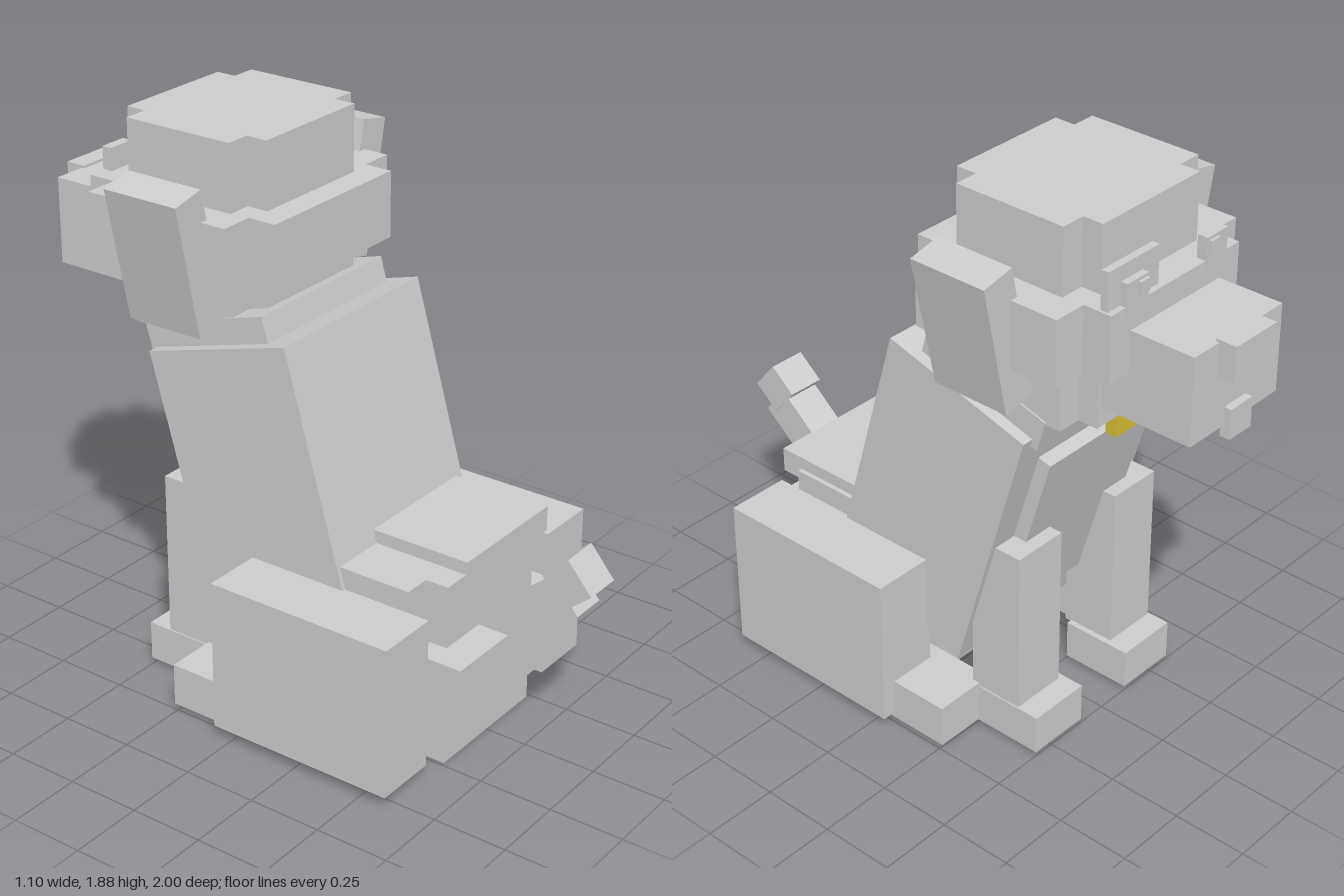
import * as THREE from 'three';

const grey = new THREE.MeshStandardMaterial({ color: 0xcccccc });
grey.name = 'light grey';
const gold = new THREE.MeshStandardMaterial({ color: 0xd4be32 });
gold.name = 'gold';

// Box given by its lower and upper limits on each axis
function block(parent, name, [x0, x1], [y0, y1], [z0, z1], material = grey) {
  const mesh = new THREE.Mesh(new THREE.BoxGeometry(x1 - x0, y1 - y0, z1 - z0), material);
  mesh.position.set((x0 + x1) / 2, (y0 + y1) / 2, (z0 + z1) / 2);
  mesh.name = name;
  parent.add(mesh);
  return mesh;
}

// Same box on either side of x = 0
function pair(parent, name, [x0, x1], y, z) {
  return [
    block(parent, name + 'Left', [x0, x1], y, z),
    block(parent, name + 'Right', [-x1, -x0], y, z),
  ];
}

function group(parent, name) {
  const g = new THREE.Group();
  g.name = name;
  parent.add(g);
  return g;
}

export function createModel() {
  const dog = new THREE.Group();
  dog.name = 'sittingDog';

  // Leaning torso with collar and chest plate in its own tilted frame
  const torso = group(dog, 'torso');
  torso.position.set(0, 0.772, -0.057);
  torso.rotation.x = -0.28;
  block(torso, 'body', [-0.345, 0.345], [-0.477, 0.477], [-0.275, 0.275]);
  block(torso, 'collar', [-0.305, 0.305], [0.45, 0.562], [-0.3, 0.18]);
  block(torso, 'chest', [-0.24, 0.24], [-0.3, 0.365], [-0.322, -0.27]);
  block(dog, 'tag', [-0.045, 0.045], [1.08, 1.2], [-0.555, -0.515], gold);

  // Head: crossed boxes make the stepped corners
  const head = group(dog, 'head');
  block(head, 'skullWide', [-0.3, 0.3], [1.22, 1.88], [-0.55, -0.155]);
  block(head, 'skullLong', [-0.217, 0.217], [1.22, 1.88], [-0.62, -0.082]);
  block(head, 'cheeksWide', [-0.407, 0.407], [1.44, 1.66], [-0.62, -0.092]);
  block(head, 'cheeksLong', [-0.292, 0.292], [1.44, 1.66], [-0.717, 0.005]);
  block(head, 'snout', [-0.203, 0.203], [1.288, 1.578], [-0.94, -0.6]);
  block(head, 'nose', [-0.093, 0.093], [1.47, 1.587], [-1, -0.93]);
  block(head, 'tongue', [-0.05, 0.05], [1.25, 1.35], [-0.965, -0.93]);
  block(head, 'eyePatch', [0.06, 0.283], [1.6, 1.785], [-0.697, -0.672]);
  pair(head, 'eye', [0.133, 0.228], [1.6, 1.735], [-0.72, -0.685]);
  pair(head, 'pupil', [0.14, 0.18], [1.682, 1.725], [-0.73, -0.715]);
  pair(head, 'ear', [0.354, 0.472], [1.3, 1.754], [-0.455, -0.18])
    .forEach((ear, i) => { ear.rotation.z = i ? 0.21 : -0.21; });

  // Legs
  pair(dog, 'frontLeg', [0.13, 0.325], [0.15, 0.72], [-0.425, -0.235]);
  pair(dog, 'frontPaw', [0.11, 0.33], [0.02, 0.155], [-0.505, -0.26]);
  pair(dog, 'haunch', [0.333, 0.55], [0.042, 0.556], [-0.057, 0.602]);
  pair(dog, 'hindPaw', [0.28, 0.5], [0.02, 0.165], [-0.262, 0.1]);

  // Rump
  const rump = group(dog, 'rump');
  block(rump, 'rumpWide', [-0.33, 0.33], [0, 0.625], [0.1, 0.525]);
  block(rump, 'rumpLong', [-0.238, 0.238], [0, 0.625], [0.01, 0.605]);
  block(rump, 'rumpMiddle', [-0.322, 0.318], [0.21, 0.415], [-0.092, 0.712]);
  block(rump, 'backPatch', [-0.14, 0.314], [0.583, 0.668], [0.255, 0.608]);

  // Tail with a raised tip
  const tail = group(dog, 'tail');
  tail.position.set(0, 0.613, 0.91);
  tail.rotation.x = -0.7;
  block(tail, 'tailStem', [-0.063, 0.063], [-0.065, 0.065], [-0.46, 0]);
  block(tail, 'tailTip', [-0.066, 0.066], [-0.03, 0.1], [-0.03, 0.087]);

  return dog;
}
